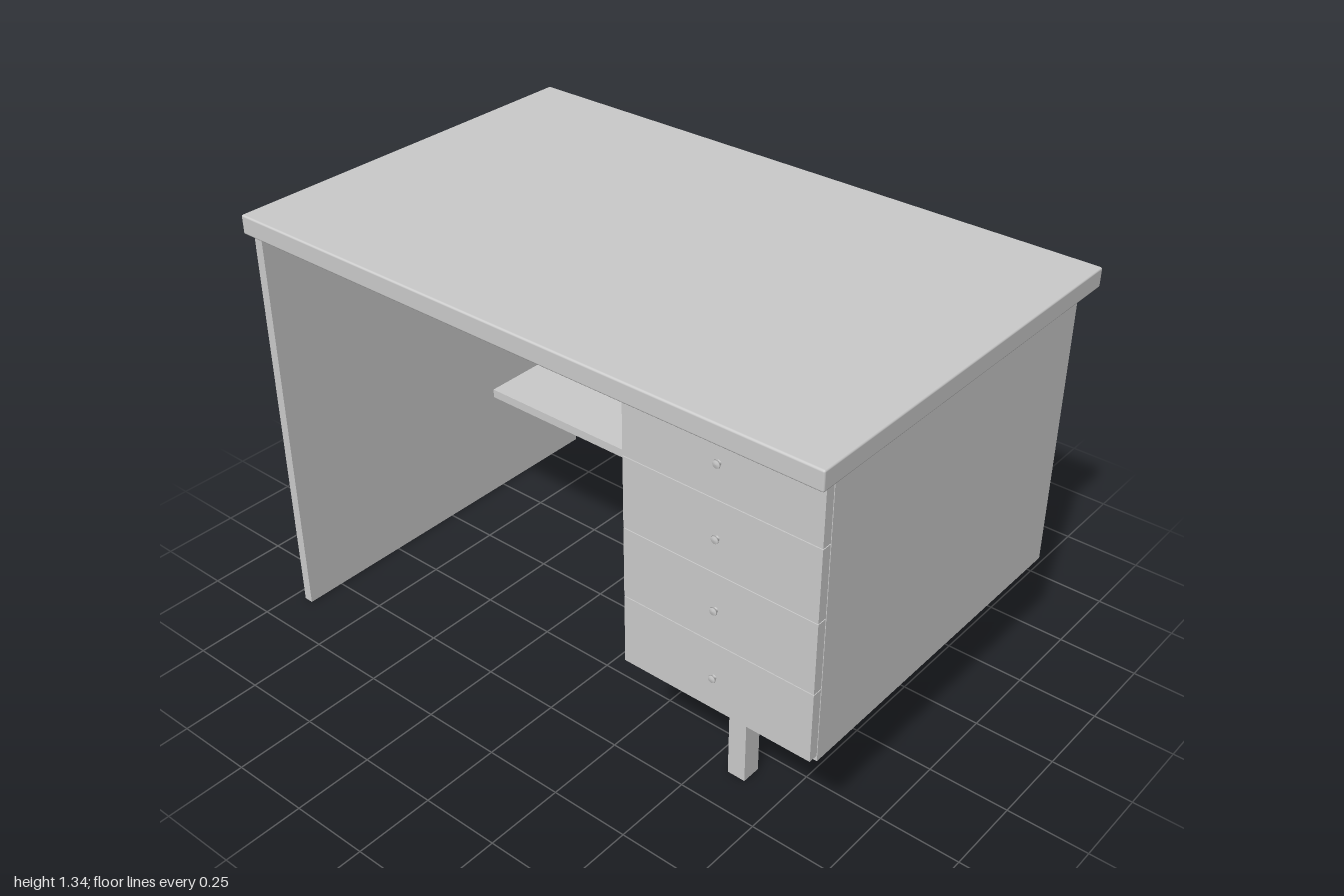
import * as THREE from 'three';
import { RoundedBoxGeometry } from 'three/addons/geometries/RoundedBoxGeometry.js';

const material = new THREE.MeshStandardMaterial({ color: 0xcccccc });

// Box given by its extents on each axis; an optional radius softens the edges
function slab(name, [x0, x1], [y0, y1], [z0, z1], radius = 0) {
  const size = [x1 - x0, y1 - y0, z1 - z0];
  const geometry = radius
    ? new RoundedBoxGeometry(...size, 2, radius)
    : new THREE.BoxGeometry(...size);
  const mesh = new THREE.Mesh(geometry, material);
  mesh.name = name;
  mesh.position.set((x0 + x1) / 2, (y0 + y1) / 2, (z0 + z1) / 2);
  return mesh;
}

export function createModel() {
  const desk = new THREE.Group();
  desk.name = 'desk';

  // Worktop, side panel, back panel and the shelf in the knee space
  desk.add(
    slab('worktop', [-1, 1], [1.283, 1.343], [-0.632, 0.632], 0.006),
    slab('sidePanel', [-0.96, -0.93], [0, 1.283], [-0.63, 0.625]),
    slab('backPanel', [-0.93, 0.322], [0.368, 1.283], [-0.618, -0.595]),
    slab('shelf', [-0.93, 0.328], [0.368, 0.398], [-0.595, -0.23]),
  );

  // Drawer cabinet
  const cabinet = new THREE.Group();
  cabinet.name = 'drawerCabinet';
  cabinet.add(slab('cabinetBody', [0.328, 0.95], [0.37, 1.283], [-0.615, 0.51]));

  // Knob profile: base, narrow neck, flared head
  const profile = [[0.009, 0], [0.004, 0.005], [0.012, 0.01], [0.011, 0.013], [0, 0.014]]
    .map(([r, h]) => new THREE.Vector2(r, h));
  const knobGeometry = new THREE.LatheGeometry(profile, 16).rotateX(Math.PI / 2);

  // Four equal drawers with a fine gap between them
  const pitch = 0.2225, gap = 0.003;
  for (let i = 0; i < 4; i++) {
    const top = 1.275 - i * pitch;
    const drawer = new THREE.Group();
    drawer.name = `drawer${i + 1}`;
    const knob = new THREE.Mesh(knobGeometry, material);
    knob.name = 'knob';
    knob.position.set(0.637, top - pitch / 2, 0.539);
    drawer.add(slab('drawerFront', [0.331, 0.948], [top - pitch + gap, top], [0.51, 0.54]), knob);
    cabinet.add(drawer);
  }

  // Square legs under the cabinet
  cabinet.add(
    slab('frontLeg', [0.567, 0.626], [0, 0.37], [0.313, 0.376]),
    slab('backLeg', [0.567, 0.626], [0, 0.37], [-0.476, -0.413]),
  );
  desk.add(cabinet);
  return desk;
}
